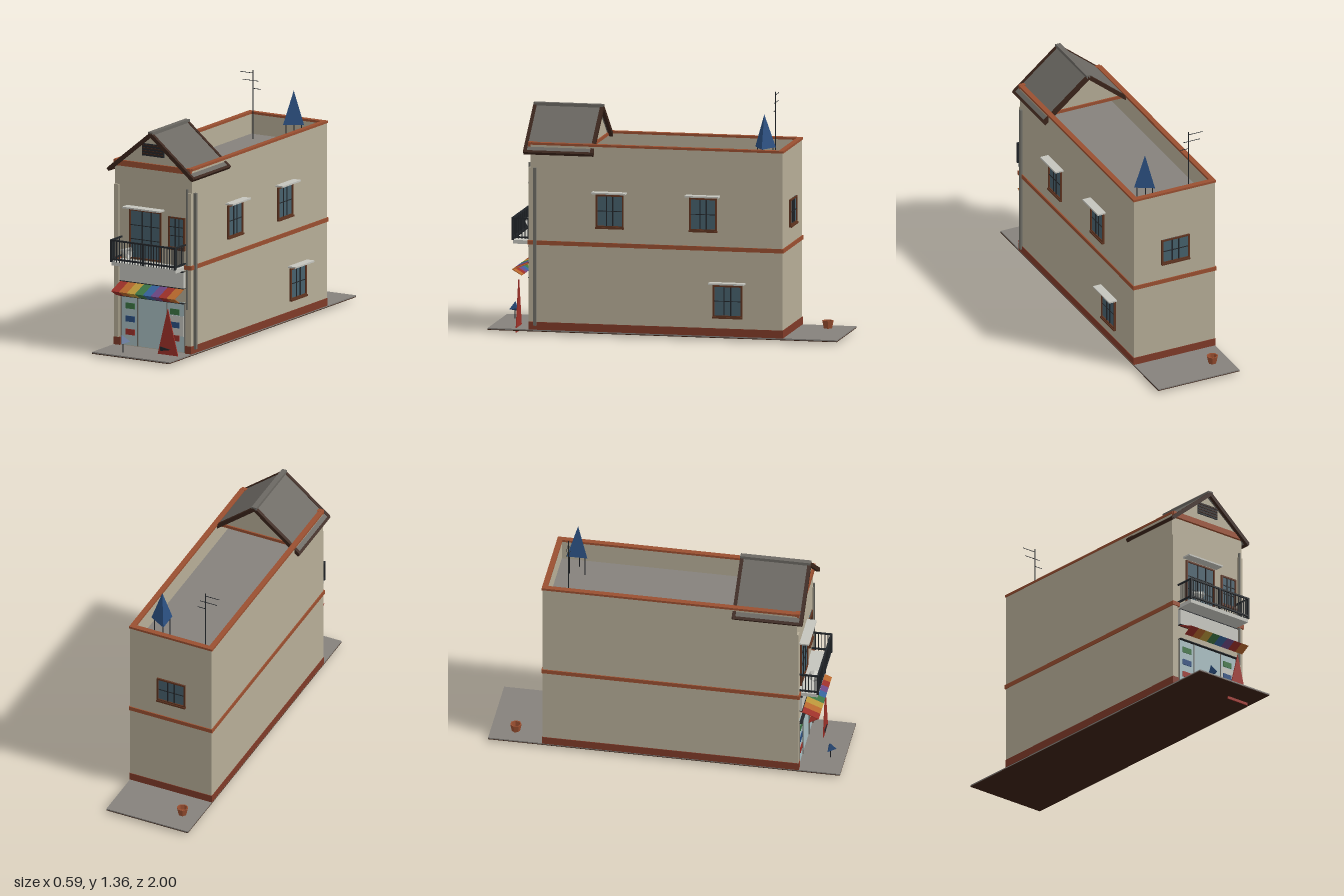
import * as THREE from 'three';

const C = {
  wall: 0xb6ad97, trim: 0x9a4f30, base: 0x7f3a28, roof: 0x85817c, tile: 0x6b6862, wood: 0x3a241a,
  frame: 0x5f3420, glass: 0x46606c, dark: 0x22262a, pale: 0xc4c4bd, shop: 0xa6bcc0, pipe: 0x6e6d66,
  red: 0x9c3028, blue: 0x2b4f80, green: 0x3c7444, soil: 0x3b2115,
};
const cache = {};
const mat = (c) => (cache[c] ??= new THREE.MeshStandardMaterial({ color: c, flatShading: true, side: THREE.DoubleSide }));

function add(parent, name, geo, color, x = 0, y = 0, z = 0) {
  const m = new THREE.Mesh(geo, mat(color));
  m.name = name;
  m.position.set(x, y, z);
  parent.add(m);
  return m;
}
// Box given by its extents along each axis
function box(parent, name, color, x0, x1, y0, y1, z0, z1) {
  return add(parent, name, new THREE.BoxGeometry(x1 - x0, y1 - y0, z1 - z0), color,
    (x0 + x1) / 2, (y0 + y1) / 2, (z0 + z1) / 2);
}
function group(parent, name) {
  const g = new THREE.Group();
  g.name = name;
  parent.add(g);
  return g;
}
function flatShape(points, depth) {
  return new THREE.ExtrudeGeometry(new THREE.Shape(points.map((p) => new THREE.Vector2(...p))),
    { depth, bevelEnabled: false });
}

// Window facing local +z, centred on x with its bottom at y = 0
function windowUnit(parent, name, w, h, { bars = [-0.12, 0.12], rows = [0.5], hood = 0, sill = true } = {}) {
  const g = group(parent, name), t = 0.009;
  box(g, 'glass', C.glass, -w / 2, w / 2, 0, h, -0.005, 0.003);
  for (const s of [-1, 1]) {
    box(g, 'frameSide', C.frame, s * w / 2 - t / 2, s * w / 2 + t / 2, 0, h, 0, 0.01);
    box(g, 'frameRail', C.frame, -w / 2, w / 2, s > 0 ? h - t : 0, s > 0 ? h : t, 0, 0.01);
  }
  for (const b of bars) box(g, 'mullion', C.dark, b * w - 0.003, b * w + 0.003, 0.01, h - 0.01, 0, 0.008);
  for (const r of rows) box(g, 'glazingBar', C.dark, -w / 2, w / 2, r * h - 0.002, r * h + 0.002, 0, 0.007);
  if (sill) box(g, 'sill', C.frame, -w / 2 - 0.006, w / 2 + 0.006, -0.008, 0.002, 0, 0.015);
  if (hood) box(g, 'hood', C.pale, -w / 2 - 0.022, w / 2 + 0.022, h + 0.008, h + 0.017, 0, hood);
  return g;
}

export function createModel() {
  const root = new THREE.Group();
  root.name = 'shopHouse';
  const L = -0.265, R = 0.24, B = -0.69, F = 0.755, MID = (L + R) / 2;

  // Ground slab
  box(root, 'pavement', C.roof, L, R, 0.019, 0.026, -1, 1);
  box(root, 'pavementUnderside', C.soil, L, R, 0.015, 0.019, -1, 1);

  // Walls, sunken flat roof and parapet
  box(root, 'walls', C.wall, L, R, 0.02, 0.955, B, F);
  box(root, 'flatRoof', C.roof, L + 0.02, R - 0.02, 0.955, 0.96, B + 0.02, F - 0.02);
  const ring = (name, color, y0, y1, out, thick) => {
    const g = group(root, name), l = L - out, r = R + out, b = B - out, f = F + out;
    box(g, name + 'Left', color, r - thick, r, y0, y1, b, f);
    box(g, name + 'Right', color, l, l + thick, y0, y1, b, f);
    box(g, name + 'Back', color, l, r, y0, y1, b, b + thick);
    return g;
  };
  ring('parapet', C.wall, 0.955, 1.075, 0, 0.022);
  box(root, 'parapetFront', C.wall, L, R, 0.955, 1.075, F - 0.022, F);
  ring('coping', C.trim, 1.074, 1.087, 0.005, 0.03);
  const band = ring('floorBand', C.trim, 0.508, 0.532, 0.006, 0.02);
  const plinth = ring('plinth', C.base, 0.026, 0.07, 0.003, 0.015);
  for (const [a, b] of [[L - 0.006, -0.222], [0.198, R + 0.006]]) {
    box(band, 'floorBandFront', C.trim, a, b, 0.508, 0.532, 0.74, 0.772);
    box(plinth, 'plinthFront', C.base, a + 0.004, b - 0.004, 0.026, 0.07, 0.74, 0.767);
  }

  // Corner pilasters and drain pipes
  for (const x of [L, R - 0.03]) box(root, 'pilaster', C.wall, x, x + 0.03, 0.026, 0.945, 0.75, 0.765);
  box(root, 'sideDrainPipe', C.pipe, R, R + 0.014, 0.05, 0.945, 0.72, 0.737);
  box(root, 'frontDrainPipe', C.pipe, 0.212, 0.22, 0.28, 0.97, 0.762, 0.772);

  // Gabled roof at the front
  const gable = group(root, 'gableRoof'), top = 1.262, eave = 1.035, half = 0.275;
  const tri = [[L + 0.01, 1.06], [R - 0.01, 1.06], [MID, 1.25]];
  add(gable, 'frontGableWall', flatShape(tri, 0.02), C.wall, 0, 0, 0.738);
  add(gable, 'backGableWall', flatShape(tri, 0.01), C.wall, 0, 0, 0.42);
  box(gable, 'frontTieBeam', C.trim, L, R, 1.055, 1.088, 0.745, 0.77);
  box(gable, 'backTieBeam', C.trim, L + 0.01, R - 0.01, 1.062, 1.08, 0.412, 0.432);
  const slope = Math.hypot(half, top - eave), tilt = Math.atan2(top - eave, half);
  for (const s of [-1, 1]) {
    const side = group(gable, s > 0 ? 'leftSlope' : 'rightSlope');
    side.position.set(MID + s * half / 2, (top + eave) / 2, 0);
    side.rotation.z = -s * tilt;
    box(side, 'tiles', C.tile, -slope / 2, slope / 2, -0.004, 0.006, 0.395, 0.785);
    for (const z of [0.39, 0.772])
      box(side, 'bargeBoard', C.wood, -slope / 2, slope / 2, -0.013, 0.009, z, z + 0.02);
    box(side, 'eaveBoard', C.wood, s * slope / 2 - 0.008, s * slope / 2 + 0.008, -0.012, 0.007, 0.39, 0.79);
  }
  box(gable, 'ridgeCap', C.tile, MID - 0.015, MID + 0.015, 1.255, 1.275, 0.39, 0.79);
  box(gable, 'vent', C.dark, -0.083, 0.06, 1.13, 1.2, 0.75, 0.764);
  for (let i = 0; i < 4; i++)
    box(gable, 'ventSlat', C.wood, -0.08, 0.057, 1.14 + i * 0.016, 1.146 + i * 0.016, 0.76, 0.768);

  // Windows on the left wall, back wall and upper front
  for (const [z, y, w, h] of [[0.3, 0.62, 0.15, 0.185], [-0.235, 0.62, 0.15, 0.185], [-0.375, 0.135, 0.16, 0.18]]) {
    const win = windowUnit(root, 'sideWindow', w, h, { hood: 0.05 });
    win.position.set(R, y, z);
    win.rotation.y = Math.PI / 2;
  }
  const back = windowUnit(root, 'backWindow', 0.165, 0.15);
  back.position.set(-0.016, 0.635, B);
  back.rotation.y = Math.PI;
  windowUnit(root, 'balconyDoor', 0.2, 0.285, { bars: [-0.1, 0.2], rows: [0.4, 0.68], hood: 0.055, sill: false })
    .position.set(-0.063, 0.53, F);
  windowUnit(root, 'frontWindow', 0.1, 0.18, { bars: [-0.1, 0.15], rows: [0.4, 0.68] }).position.set(0.143, 0.62, F);

  // Balcony with railing
  const bal = group(root, 'balcony');
  box(bal, 'balconyFloor', C.pale, -0.22, 0.198, 0.502, 0.523, F, 0.865);
  for (const y of [0.535, 0.642]) {
    box(bal, 'frontRail', C.dark, -0.225, 0.2, y, y + 0.009, 0.862, 0.872);
    for (const x of [-0.225, 0.192]) box(bal, 'sideRail', C.dark, x, x + 0.008, y, y + 0.009, F, 0.87);
  }
  for (let i = 0; i <= 24; i++) {
    const x = -0.22 + i * 0.01733, t = i % 12 ? 0.002 : 0.006;
    box(bal, 'baluster', C.dark, x - t, x + t, 0.523, 0.65, 0.867 - t, 0.867 + t);
  }
  for (let i = 1; i < 6; i++)
    for (const x of [-0.221, 0.196])
      box(bal, 'sideBaluster', C.dark, x - 0.002, x + 0.002, 0.53, 0.645, 0.758 + i * 0.018, 0.762 + i * 0.018);
  const dish = add(bal, 'dish', new THREE.ConeGeometry(0.035, 0.07, 8, 1, true), C.pale, -0.155, 0.583, 0.83);
  dish.rotation.z = 1.4;

  // Shop front: glazing, posts, displayed goods and blank sign board
  const shop = group(root, 'shopFront');
  box(shop, 'shopGlass', C.shop, -0.22, 0.197, 0.03, 0.315, 0.75, 0.76);
  box(shop, 'signBoard', C.pale, -0.222, 0.198, 0.4, 0.492, 0.75, 0.776);
  for (const y of [0.31, 0.396, 0.49]) box(shop, 'transom', C.dark, -0.222, 0.198, y, y + 0.004, 0.755, 0.779);
  for (const x of [-0.22, -0.113, 0.08, 0.194])
    box(shop, 'glazingPost', C.pipe, x, x + 0.004, 0.03, 0.315, 0.755, 0.766);
  for (const x of [-0.192, 0.102])
    [C.red, C.blue, C.green].forEach((c, i) =>
      box(shop, 'goods', c, x, x + 0.06, 0.09 + i * 0.075, 0.123 + i * 0.075, 0.76, 0.764));
  box(shop, 'poster', C.pale, 0.09, 0.19, 0.12, 0.235, 0.759, 0.762);

  // Striped awning: sloping canopy with a short turned-in flap
  const awning = group(root, 'awning');
  const stripes = [C.red, 0xb5662c, 0xb89438, C.green, 0x35619a, 0x6b4682, C.red, 0xb5662c];
  const canopy = flatShape([[0.765, 0.398], [0.872, 0.355], [0.815, 0.322], [0.815, 0.326], [0.864, 0.355], [0.765, 0.393]], 0.052);
  stripes.forEach((c, i) => {
    const m = add(awning, 'stripe', canopy, c, -0.22 + (i + 1) * 0.052, 0, 0);
    m.rotation.y = -Math.PI / 2;
  });

  // Pavement sign and small items in front
  const board = group(root, 'pavementSign');
  add(board, 'signPanel', flatShape([[0.065, 0], [0.21, 0], [0.137, 0.29]], 0.006), C.red, 0, 0, 0.842);
  add(board, 'signMark', flatShape([[0.09, 0.07], [0.16, 0.058], [0.092, 0.045]], 0.004), C.dark, 0, 0, 0.849);
  const parasol = group(root, 'planter');
  const cone = add(parasol, 'planterTop', new THREE.ConeGeometry(0.032, 0.05, 3), C.blue, -0.11, 0.102, 0.92);
  cone.rotation.z = 0.4;
  add(parasol, 'planterStem', new THREE.CylinderGeometry(0.003, 0.003, 0.06, 5), C.dark, -0.11, 0.055, 0.92);

  // Roof turret on three legs
  const turret = group(root, 'roofTurret');
  turret.position.set(0.105, 0, -0.555);
  add(turret, 'turretCone', new THREE.ConeGeometry(0.068, 0.19, 3), C.blue, 0, 1.175, 0).rotation.y = Math.PI / 2;
  for (let i = 0; i < 3; i++) {
    const a = i * Math.PI * 2 / 3;
    add(turret, 'turretLeg', new THREE.CylinderGeometry(0.003, 0.003, 0.12, 5), C.dark,
      0.05 * Math.cos(a), 1.02, 0.05 * Math.sin(a));
  }

  // Aerial
  const aerial = group(root, 'aerial');
  box(aerial, 'mast', C.dark, -0.167, -0.163, 0.96, 1.355, -0.562, -0.558);
  box(aerial, 'longArm', C.dark, -0.235, -0.13, 1.293, 1.296, -0.561, -0.559);
  box(aerial, 'topArm', C.dark, -0.25, -0.165, 1.336, 1.339, -0.561, -0.559);
  box(aerial, 'lowArm', C.dark, -0.165, -0.115, 1.248, 1.251, -0.561, -0.559);

  // Pot behind the house
  const profile = [[0, 0.026], [0.024, 0.026], [0.033, 0.07], [0.026, 0.07], [0.022, 0.04], [0, 0.04]];
  add(root, 'backPot', new THREE.LatheGeometry(profile.map((p) => new THREE.Vector2(...p)), 7), C.trim, -0.165, 0, -0.86);
  return root;
}
